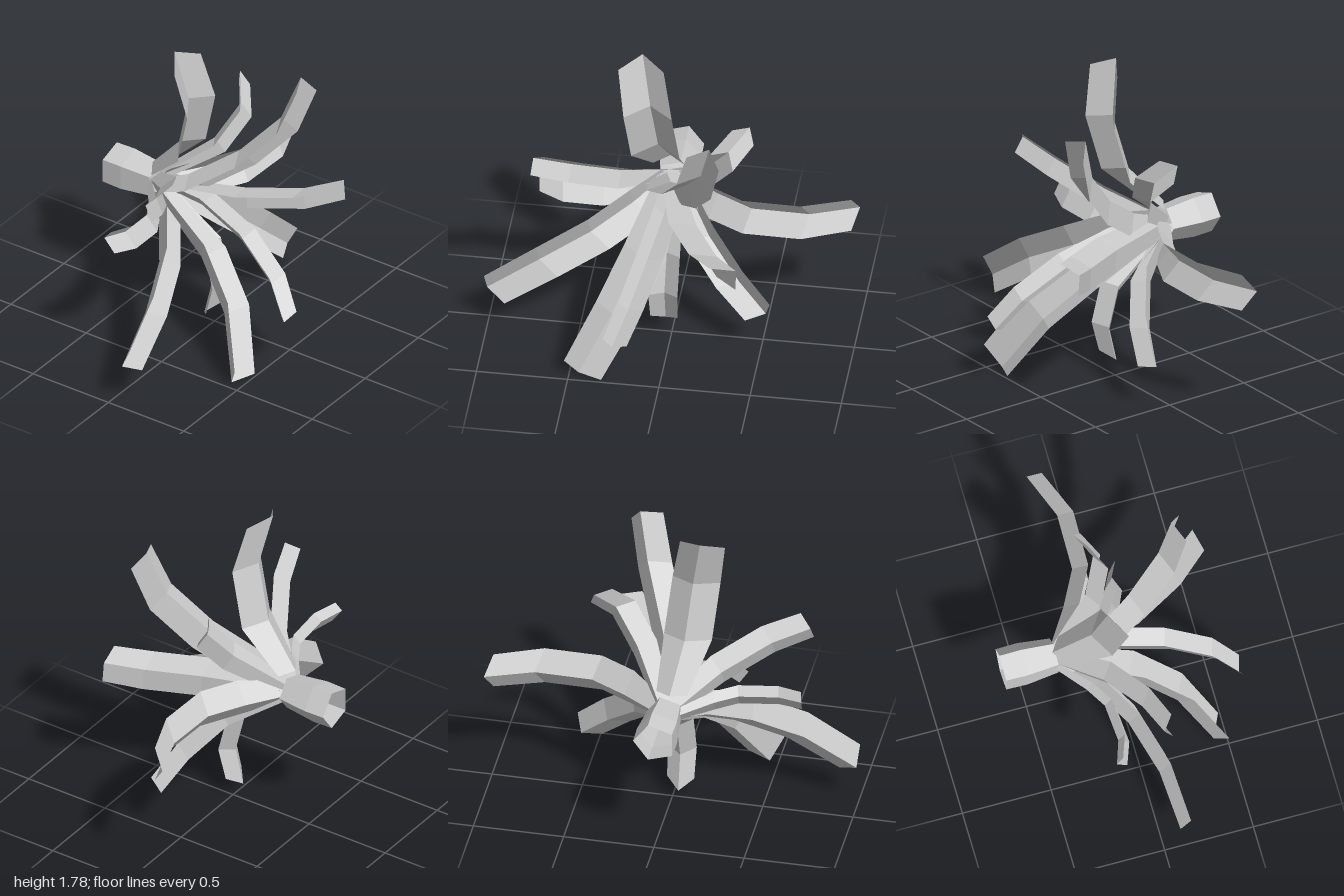
import * as THREE from 'three';

const material = new THREE.MeshStandardMaterial({
  color: 0xcccccc, flatShading: true, side: THREE.DoubleSide,
});

// Each leaf: spine points from base to tip, then the offsets from the spine to its two edges.
const leaves = {
  topLeaf: {
    spine: [[-0.06, 0.92, -0.37], [-0.1, 1.15, -0.165], [-0.13, 1.475, -0.08], [-0.18, 1.78, -0.14]],
    a: [-0.135, -0.03, 0.085], b: [0.13, -0.02, 0.085], pointed: 0.03,
  },
  upperFrontLeaf: {
    spine: [[-0.08, 0.82, -0.35], [-0.03, 0.91, -0.15], [0.09, 1.09, 0.1], [0.2, 1.32, 0.3], [0.26, 1.58, 0.39]],
    a: [-0.125, -0.03, 0.055], b: [0.065, -0.1, 0.065],
  },
  upperLeftLeaf: {
    spine: [[0, 0.85, -0.36], [0.17, 1.05, -0.12], [0.305, 1.235, -0.04], [0.41, 1.355, -0.12]],
    a: [-0.095, 0.015, 0.06], b: [0.03, -0.09, 0.05],
  },
  upperRightLeaf: {
    spine: [[-0.08, 0.82, -0.37], [-0.3, 0.96, -0.15], [-0.55, 1.09, 0], [-0.75, 1.165, 0.07]],
    a: [0.07, 0.06, 0.06], b: [-0.01, -0.09, 0.05],
  },
  rightLeaf: {
    spine: [[-0.1, 0.8, -0.38], [-0.28, 0.82, -0.24], [-0.4, 0.83, -0.17], [-0.62, 0.845, -0.155], [-0.755, 0.86, -0.2]],
    a: [0.01, 0.047, 0.04], b: [0.01, -0.09, 0.065],
  },
  lowerRightLongLeaf: {
    spine: [[-0.09, 0.78, -0.36], [-0.24, 0.71, -0.2], [-0.45, 0.6, -0.05], [-0.72, 0.455, 0.05], [-1, 0.265, 0.09]],
    a: [-0.01, 0.125, 0.06], b: [0.11, -0.06, 0.065],
  },
  lowerFrontLeaf: {
    spine: [[-0.07, 0.75, -0.36], [-0.17, 0.52, 0.03], [-0.29, 0.3, 0.27], [-0.45, 0, 0.43]],
    a: [-0.075, 0.135, 0.075], b: [0.14, 0.01, 0.065],
  },
  frontLeaf: {
    spine: [[-0.05, 0.79, -0.36], [-0.05, 0.76, -0.05], [-0.1, 0.67, 0.25], [-0.17, 0.51, 0.5], [-0.24, 0.35, 0.63]],
    a: [-0.05, 0.07, 0.02], b: [0.09, 0.035, 0.025],
  },
  bottomLeaf: {
    spine: [[-0.03, 0.75, -0.36], [-0.035, 0.5, -0.05], [-0.04, 0.27, 0.01], [-0.04, 0.065, -0.04]],
    a: [-0.08, 0.02, 0.06], b: [0.08, 0.02, 0.06], pointed: 0.03,
  },
  lowerLeftLeaf: {
    spine: [[0.01, 0.76, -0.36], [0.19, 0.6, -0.1], [0.37, 0.42, 0.04], [0.53, 0.265, 0.11]],
    a: [0.03, 0.105, 0.05], b: [-0.115, -0.025, 0.05],
  },
  frontLeftLeaf: {
    spine: [[-0.02, 0.81, -0.36], [0.15, 0.82, 0.1], [0.3, 0.84, 0.38], [0.43, 0.89, 0.555]],
    a: [-0.15, 0.025, 0.03], b: [0, -0.13, 0.01],
  },
  leftLeaf: {
    spine: [[0.02, 0.795, -0.36], [0.22, 0.795, -0.23], [0.42, 0.795, -0.125], [0.74, 0.795, -0.12], [1, 0.795, -0.22]],
    a: [-0.04, 0.11, 0.08], b: [-0.04, -0.115, 0.08],
  },
};

// Folded blade: edge, spine, edge at every station
function makeLeaf(name, { spine, a, b, pointed = 0 }) {
  const positions = [];
  const index = [];
  const last = spine.length - 1;
  const points = spine.map((p) => new THREE.Vector3(...p));
  const back = points[last - 1].clone().sub(points[last]).normalize().multiplyScalar(pointed);
  points.forEach((p, i) => {
    const scale = i === 0 ? 0.65 : i === last ? 0.94 : 1;
    const edges = [a, b].map((offset) => {
      const e = p.clone().addScaledVector(new THREE.Vector3(...offset), scale);
      return i === last ? e.add(back) : e;
    });
    positions.push(...edges[0].toArray(), ...p.toArray(), ...edges[1].toArray());
    if (i === last) return;
    for (let k = 0; k < 2; k++) {
      const n = i * 3 + k;
      index.push(n, n + 1, n + 3, n + 1, n + 4, n + 3);
    }
  });
  const geometry = new THREE.BufferGeometry();
  geometry.setAttribute('position', new THREE.Float32BufferAttribute(positions, 3));
  geometry.setIndex(index);
  geometry.computeVertexNormals();
  const mesh = new THREE.Mesh(geometry, material);
  mesh.name = name;
  return mesh;
}

export function createModel() {
  const group = new THREE.Group();
  group.name = 'leafCluster';

  for (const [name, data] of Object.entries(leaves)) group.add(makeLeaf(name, data));

  // Open five-sided stem pointing backward, one corner toward +x
  const profile = [[0.1, -0.35], [0.122, -0.53], [0.119, -0.65]];
  const rings = profile.map(([r, z]) => new THREE.Vector2(r, -z));
  const stemGeometry = new THREE.LatheGeometry(rings, 5, Math.PI / 2);
  stemGeometry.rotateX(-Math.PI / 2);
  const stem = new THREE.Mesh(stemGeometry, material);
  stem.name = 'stem';
  stem.position.set(-0.035, 0.798, 0);
  group.add(stem);

  return group;
}
